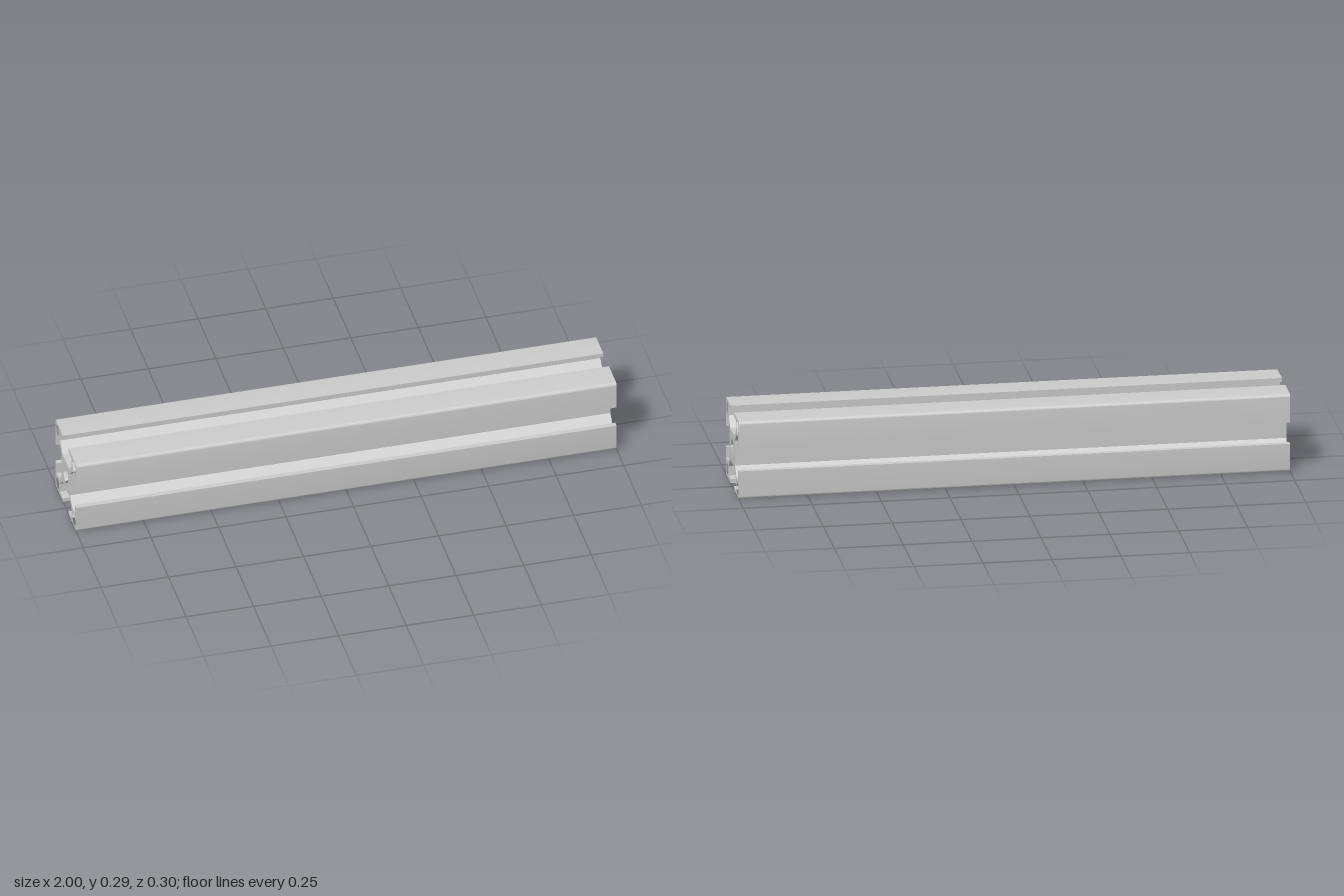
import * as THREE from 'three';
import { toCreasedNormals } from 'three/addons/utils/BufferGeometryUtils.js';

const LENGTH = 2, HALF_W = 0.15, HALF_H = 0.146;

// One quarter of the section outline, from the top slot round to the side slot
function quarterOutline() {
  const r = 0.011, corner = [];
  for (let i = 0; i <= 6; i++) {
    const a = (Math.PI / 2) * (1 - i / 6);
    corner.push([HALF_W - r + r * Math.cos(a), HALF_H - r + r * Math.sin(a)]);
  }
  return [
    [0.047, 0.06], [0.082, 0.096], [0.082, 0.131], [0.04, 0.131], [0.04, HALF_H],
    ...corner,
    [HALF_W, 0.04], [0.131, 0.04], [0.131, 0.082], [0.096, 0.082], [0.06, 0.047],
  ];
}

function roundHole(x, y, radius) {
  return new THREE.Path().absarc(x, y, radius, 0, Math.PI * 2, true);
}

export function createModel() {
  const group = new THREE.Group();
  group.name = 'slottedRail';

  // Mirror the quarter into all four quadrants, keeping one winding direction
  const quarter = quarterOutline();
  const points = [];
  for (const [sx, sy] of [[1, 1], [1, -1], [-1, -1], [-1, 1]]) {
    const part = quarter.map(([x, y]) => new THREE.Vector2(x * sx, y * sy));
    points.push(...(sx * sy > 0 ? part : part.reverse()));
  }
  const section = new THREE.Shape(points);

  // Central bore and four corner bores
  section.holes.push(roundHole(0, 0, 0.0345));
  for (const sx of [-1, 1]) {
    for (const sy of [-1, 1]) section.holes.push(roundHole(sx * 0.116, sy * 0.116, 0.0215));
  }

  // Extrude the section and lay it along x
  let geometry = new THREE.ExtrudeGeometry(section, {
    depth: LENGTH, steps: 1, bevelEnabled: false, curveSegments: 20,
  });
  geometry.translate(0, 0, -LENGTH / 2);
  geometry.rotateY(Math.PI / 2);
  geometry.translate(0, HALF_H, 0);
  geometry = toCreasedNormals(geometry, 0.5);

  const rail = new THREE.Mesh(geometry, new THREE.MeshStandardMaterial({ color: 0xcccccc }));
  rail.name = 'extrudedRail';
  group.add(rail);
  return group;
}
